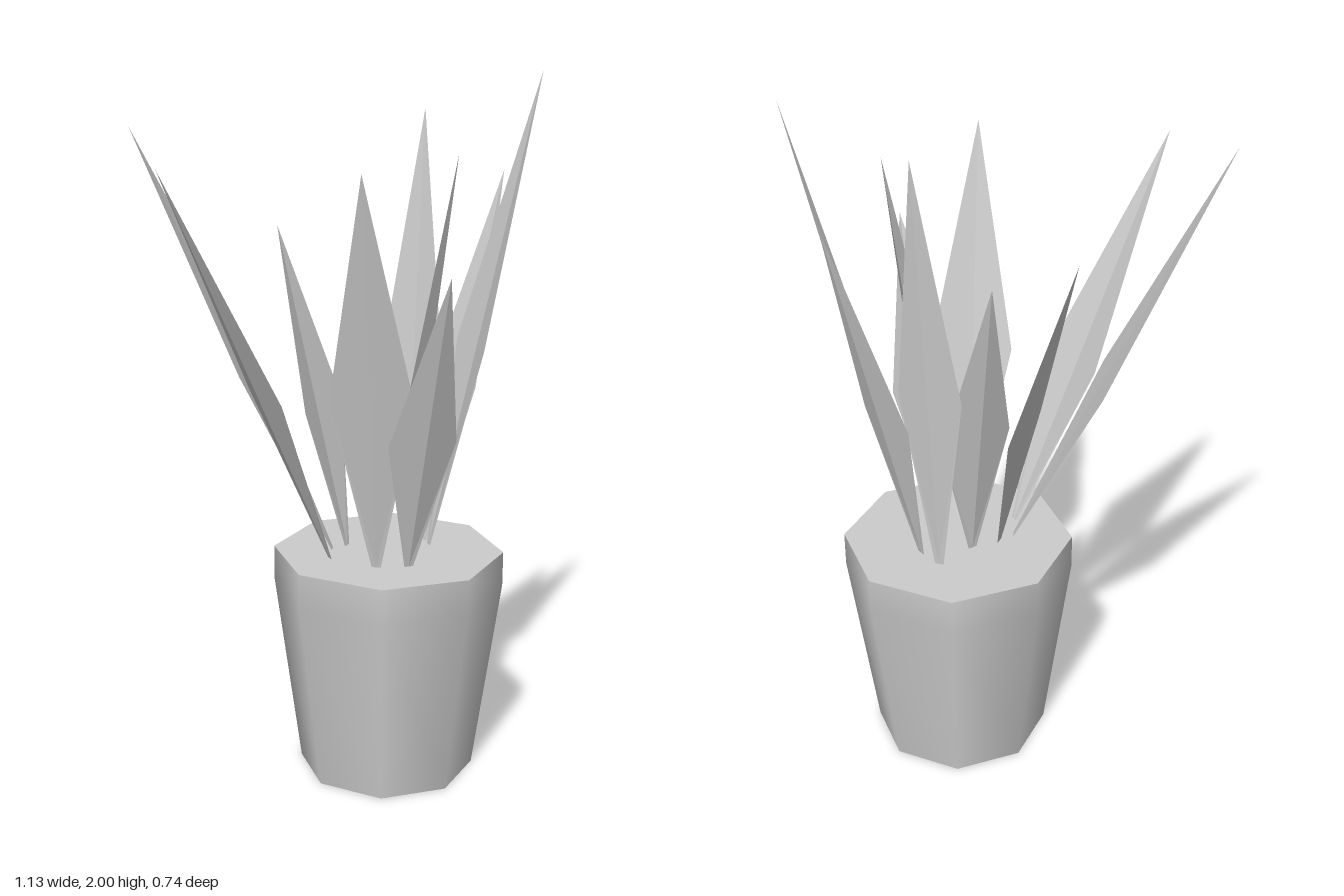
import * as THREE from 'three';

const POT_X = 0.16, POT_Z = -0.04, POT_TOP = 0.66;

// Each leaf: base [x, z], two widest side points [x, z], tip [x, y, z]
const LEAVES = [
  { base: [0.0, -0.03], a: [-0.24, -0.18], b: [-0.25, 0.06], tip: [-0.565, 1.85, -0.075] },
  { base: [0.0, 0.052], a: [-0.225, 0.045], b: [-0.11, 0.245], tip: [-0.42, 1.77, 0.29] },
  { base: [0.135, 0.115], a: [0.01, 0.19], b: [0.24, 0.215], tip: [0.105, 1.77, 0.367] },
  { base: [0.225, 0.1], a: [0.17, 0.215], b: [0.35, 0.135], tip: [0.33, 1.51, 0.33] },
  { base: [0.205, -0.035], a: [0.26, -0.11], b: [0.22, 0.06], tip: [0.34, 1.79, 0.0] },
  { base: [0.275, -0.09], a: [0.345, -0.225], b: [0.42, 0.0 - 0.02], tip: [0.563, 2.0, -0.19] },
  { base: [0.26, -0.13], a: [0.27, -0.265], b: [0.4, -0.115], tip: [0.467, 1.72, -0.302] },
  { base: [0.205, -0.185], a: [0.13, -0.245], b: [0.3, -0.19], tip: [0.24, 1.89, -0.305] },
  { base: [0.04, -0.065], a: [0.01, -0.222], b: [-0.075, -0.02], tip: [-0.17, 1.57, -0.18] },
  { base: [0.115, -0.1], a: [0.19, -0.19], b: [0.01, -0.065], tip: [0.05, 1.51, -0.2] },
];

// Diamond blade with a slight fold along its straight midrib
function leafGeometry({ base, a, b, tip }) {
  const tipV = new THREE.Vector3(...tip);
  const root = new THREE.Vector3(base[0], POT_TOP, base[1]);
  const wideY = THREE.MathUtils.lerp(POT_TOP, tip[1], 0.44);
  const points = [];
  for (const [side, flip] of [[a, false], [b, true]]) {
    const wide = new THREE.Vector3(side[0], wideY, side[1]);
    const across = new THREE.Vector3(a[0] - b[0], 0, a[1] - b[1]).setLength(flip ? -0.013 : 0.013);
    const corner = root.clone().add(across);
    points.push(...(flip
      ? [root, wide, corner, root, tipV, wide]
      : [root, corner, wide, root, wide, tipV]));
  }
  const geometry = new THREE.BufferGeometry().setFromPoints(points);
  geometry.computeVertexNormals();
  return geometry;
}

export function createModel() {
  const model = new THREE.Group();
  model.name = 'pottedPlant';
  const grey = new THREE.MeshStandardMaterial({ color: 0xcccccc, side: THREE.DoubleSide });
  grey.name = 'light grey';

  const add = (parent, name, geometry) => {
    const mesh = new THREE.Mesh(geometry, grey);
    mesh.name = name;
    parent.add(mesh);
    return mesh;
  };

  // Eight-sided pot: tapered body with an upright rim, closed above and below
  const pot = new THREE.Group();
  pot.name = 'pot';
  pot.position.set(POT_X, 0, POT_Z);
  const profile = [[0.253, 0], [0.33, 0.56], [0.33, POT_TOP]].map(([r, y]) => new THREE.Vector2(r, y));
  add(pot, 'potWall', new THREE.LatheGeometry(profile, 8));
  add(pot, 'potBottom', new THREE.CircleGeometry(0.253, 8).rotateX(Math.PI / 2));
  add(pot, 'soil', new THREE.CircleGeometry(0.33, 8).rotateX(-Math.PI / 2)).position.y = POT_TOP;
  model.add(pot);

  // Leaves fanning out of the pot
  const leaves = new THREE.Group();
  leaves.name = 'leaves';
  LEAVES.forEach((leaf, i) => add(leaves, `leaf${i + 1}`, leafGeometry(leaf)));
  model.add(leaves);

  return model;
}
